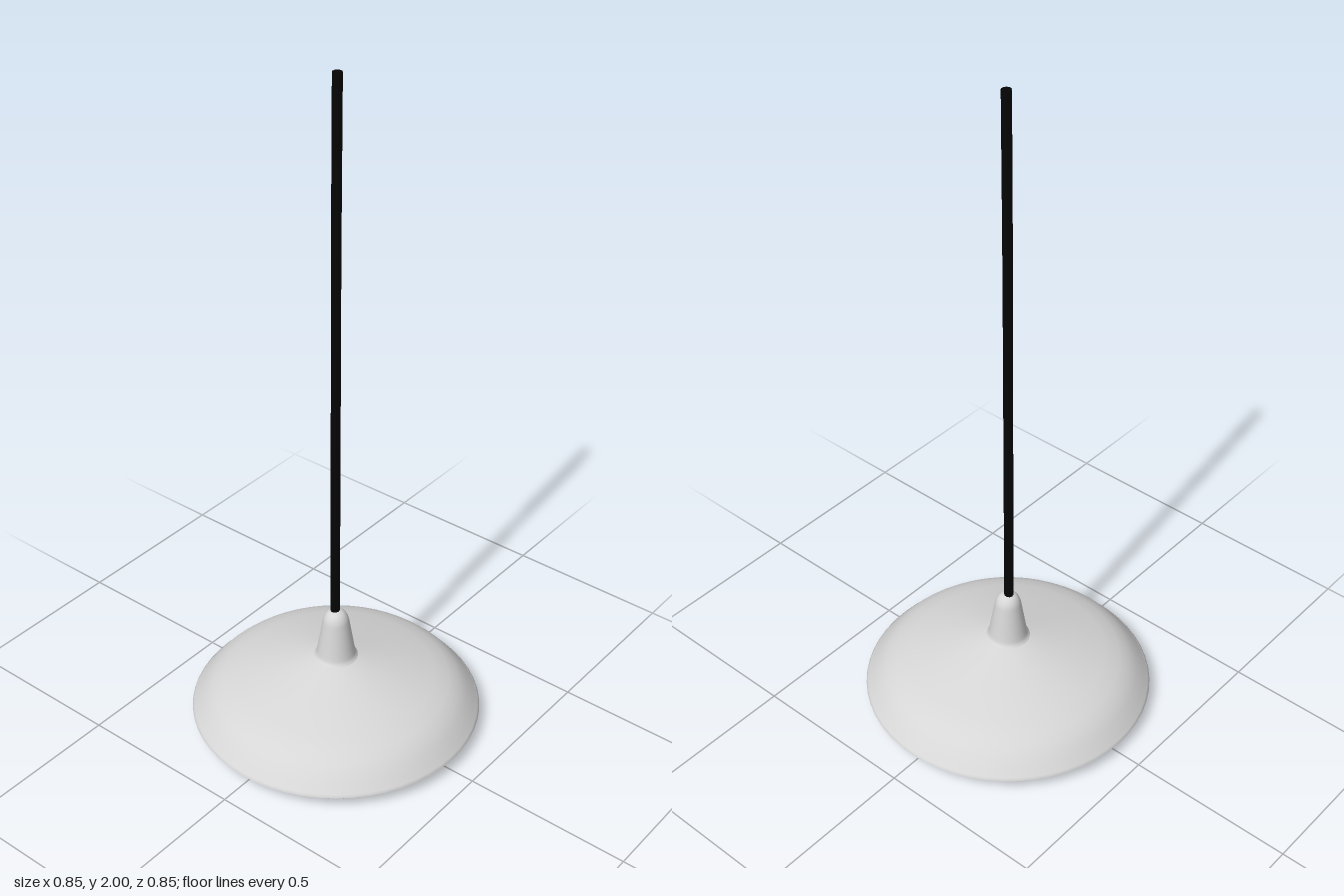
import * as THREE from 'three';

const white = new THREE.MeshStandardMaterial({ color: 0xd6d6d6, side: THREE.DoubleSide });
white.name = 'white enamel';
const black = new THREE.MeshStandardMaterial({ color: 0x050505 });
black.name = 'black cord';

// Revolve a profile of [radius, height] points, listed from the outside bottom upwards
function turned(name, points, segments = 32, smooth = true) {
  const pts = points.map(([r, y]) => new THREE.Vector2(r, y));
  const profile = smooth ? new THREE.SplineCurve(pts).getPoints(pts.length * 3) : pts;
  profile.forEach((p) => { p.x = Math.max(p.x, 0); });
  const mesh = new THREE.Mesh(new THREE.LatheGeometry(profile, segments), white);
  mesh.name = name;
  return mesh;
}

export function createModel() {
  const group = new THREE.Group();
  group.name = 'pendantLamp';

  // Shade: outer skin, thin rim and closed inner skin
  const outer = [[0.421, 0.046], [0.407, 0.063], [0.388, 0.086], [0.365, 0.108], [0.335, 0.126],
    [0.29, 0.144], [0.2, 0.171], [0.12, 0.194], [0.058, 0.212]];
  const inner = outer.map(([r, y]) => [r - 0.006, y - 0.006]).reverse();
  group.add(turned('shadeOuter', outer, 56, false));
  group.add(turned('shadeInner', [...inner.slice().reverse(), [0, 0.208]], 56, false));
  group.add(turned('shadeRim', [[0.415, 0.04], [0.424, 0.037], [0.427, 0.04], [0.421, 0.047]], 56, false));

  // Tapered neck, flared at the foot and rounded at the top
  group.add(turned('neck', [[0.066, 0.209], [0.059, 0.218], [0.055, 0.235], [0.05, 0.265], [0.041, 0.32],
    [0.036, 0.345], [0.026, 0.362], [0.012, 0.37], [0, 0.371]]));

  // Bulb and its socket
  group.add(turned('bulb', [[0, 0], [0.025, 0.005], [0.048, 0.02], [0.063, 0.043], [0.066, 0.066],
    [0.06, 0.093], [0.046, 0.118], [0.035, 0.14], [0.032, 0.165]], 24));
  group.add(turned('socket', [[0.03, 0.165], [0.037, 0.168], [0.037, 0.208]], 24, false));

  // Slightly leaning cord
  const radius = 0.0135;
  const top = new THREE.Vector3(0.02, 2, -0.012);
  const path = new THREE.CatmullRomCurve3([
    new THREE.Vector3(0, 0.35, -0.003), new THREE.Vector3(0.006, 1, -0.006),
    new THREE.Vector3(0.013, 1.5, -0.01), top,
  ]);
  const cord = new THREE.Mesh(new THREE.TubeGeometry(path, 16, radius, 10), black);
  cord.name = 'cord';
  group.add(cord);

  // Cord end cap
  const cap = new THREE.Mesh(new THREE.CircleGeometry(radius, 10), black);
  cap.name = 'cordEnd';
  cap.rotation.x = -Math.PI / 2;
  cap.position.copy(top);
  group.add(cap);

  return group;
}
